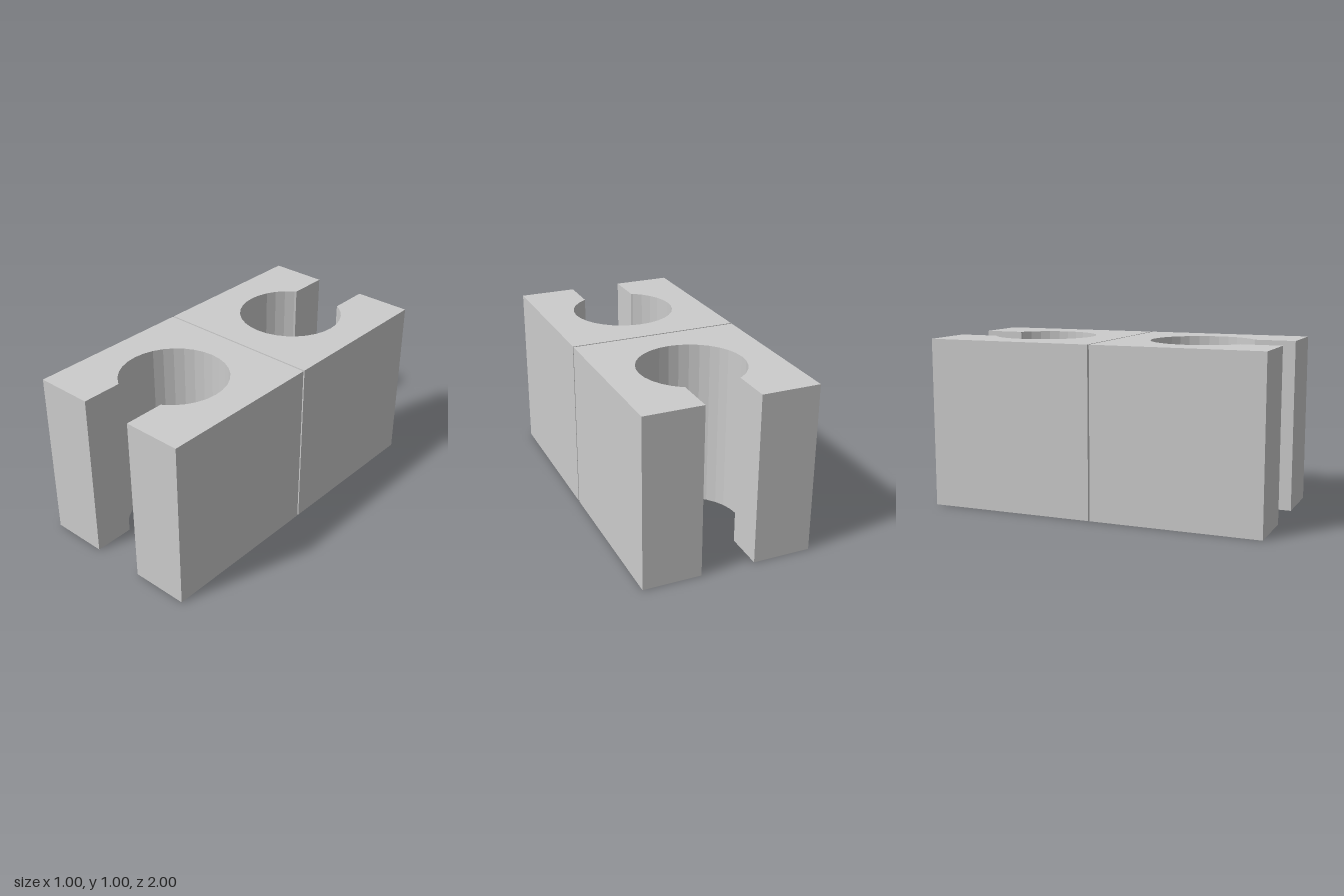
import * as THREE from 'three';

const HALF_W = 0.4975, HEIGHT = 0.995, GAP = 0.005;
const BORE_R = 0.305, BORE_C = 0.5025, SLOT = 0.158, SLOT_END = 0.762;

// Block outline seen from above: a keyhole bore opening through a slot
function blockOutline() {
  const pts = [
    [-HALF_W, GAP], [HALF_W, GAP], [HALF_W, 1], [SLOT, 1], [SLOT, SLOT_END],
  ];
  const sides = 32;
  for (let k = 3; k <= sides - 3; k++) {
    const a = (k / sides) * Math.PI * 2;
    pts.push([BORE_R * Math.sin(a), BORE_C + BORE_R * Math.cos(a)]);
  }
  pts.push([-SLOT, SLOT_END], [-SLOT, 1], [-HALF_W, 1]);
  return new THREE.Shape(pts.map(([x, y]) => new THREE.Vector2(x, y)));
}

export function createModel() {
  const group = new THREE.Group();
  group.name = 'slottedBlocks';
  const material = new THREE.MeshStandardMaterial({ color: 0xcccccc, flatShading: true });

  const geometry = new THREE.ExtrudeGeometry(blockOutline(), {
    depth: HEIGHT, bevelEnabled: false,
  });
  geometry.rotateX(-Math.PI / 2); // stand upright, slot facing -z

  // Two identical blocks back to back, slots facing outwards
  for (const [name, turn] of [['backBlock', 0], ['frontBlock', Math.PI]]) {
    const block = new THREE.Mesh(geometry, material);
    block.name = name;
    block.rotation.y = turn;
    group.add(block);
  }
  return group;
}
